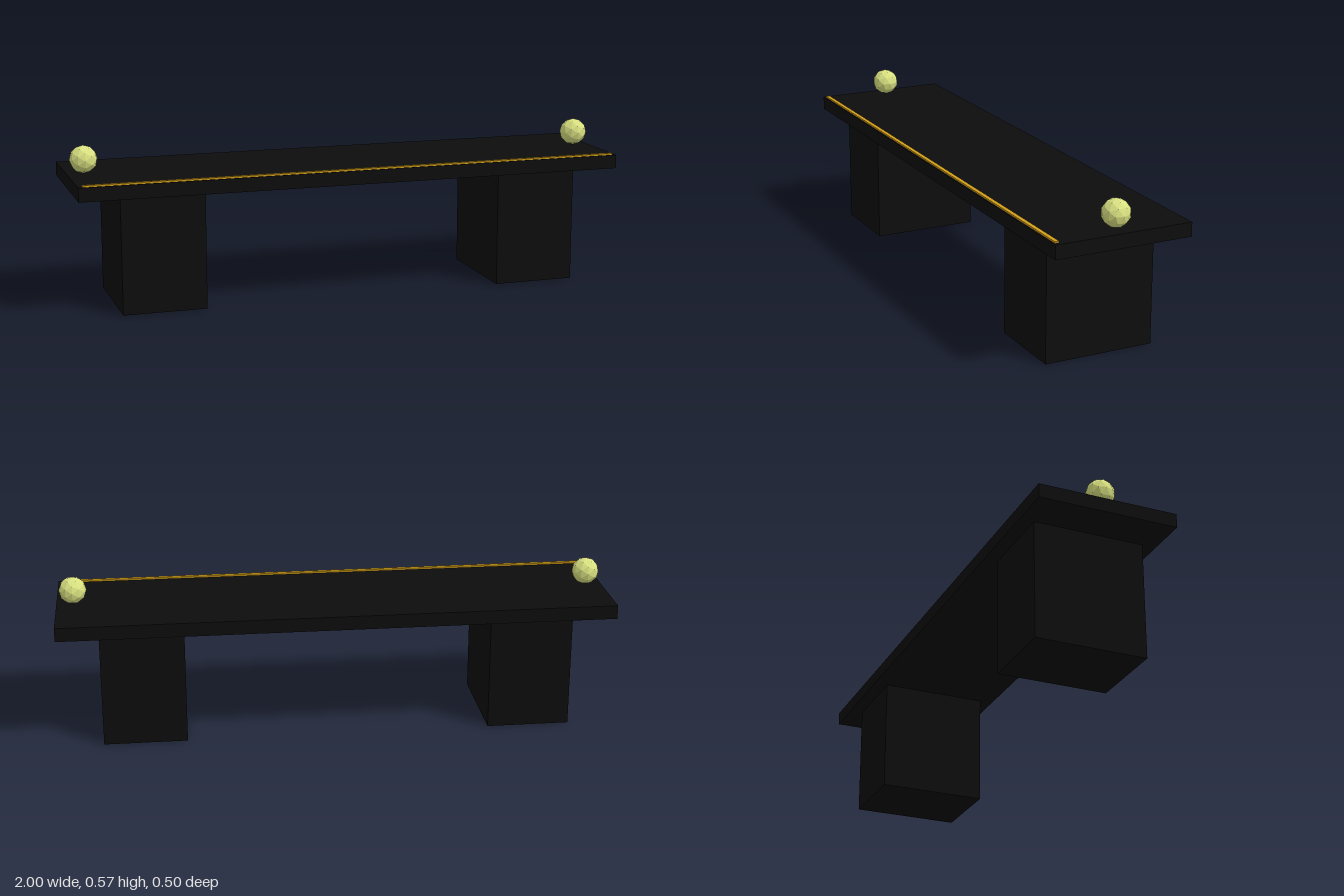
import * as THREE from 'three';

export function createModel() {
  const model = new THREE.Group();
  model.name = 'bench';

  const black = new THREE.MeshStandardMaterial({ color: 0x0d0d0d });
  black.name = 'black';
  const gold = new THREE.MeshStandardMaterial({ color: 0xd4a017 });
  gold.name = 'gold';
  const paleLime = new THREE.MeshStandardMaterial({ color: 0xd8e080, flatShading: true });
  paleLime.name = 'pale lime';

  function add(name, geometry, material, x, y, z) {
    const mesh = new THREE.Mesh(geometry, material);
    mesh.name = name;
    mesh.position.set(x, y, z);
    model.add(mesh);
  }

  // Seat slab with a thin inlay strip along its front edge
  add('seat', new THREE.BoxGeometry(2, 0.05, 0.5), black, 0, 0.446, 0);
  add('trimStrip', new THREE.BoxGeometry(1.97, 0.006, 0.015), gold, 0, 0.474, 0.2375);

  // Block legs and faceted end orbs, mirrored left and right
  const legGeometry = new THREE.BoxGeometry(0.3, 0.421, 0.4);
  const orbGeometry = new THREE.IcosahedronGeometry(0.05, 1);
  for (const [side, s] of [['left', 1], ['right', -1]]) {
    add(side + 'Leg', legGeometry, black, s * 0.7, 0.2105, 0);
    add(side + 'Orb', orbGeometry, paleLime, s * 0.94, 0.522, 0);
  }

  return model;
}
